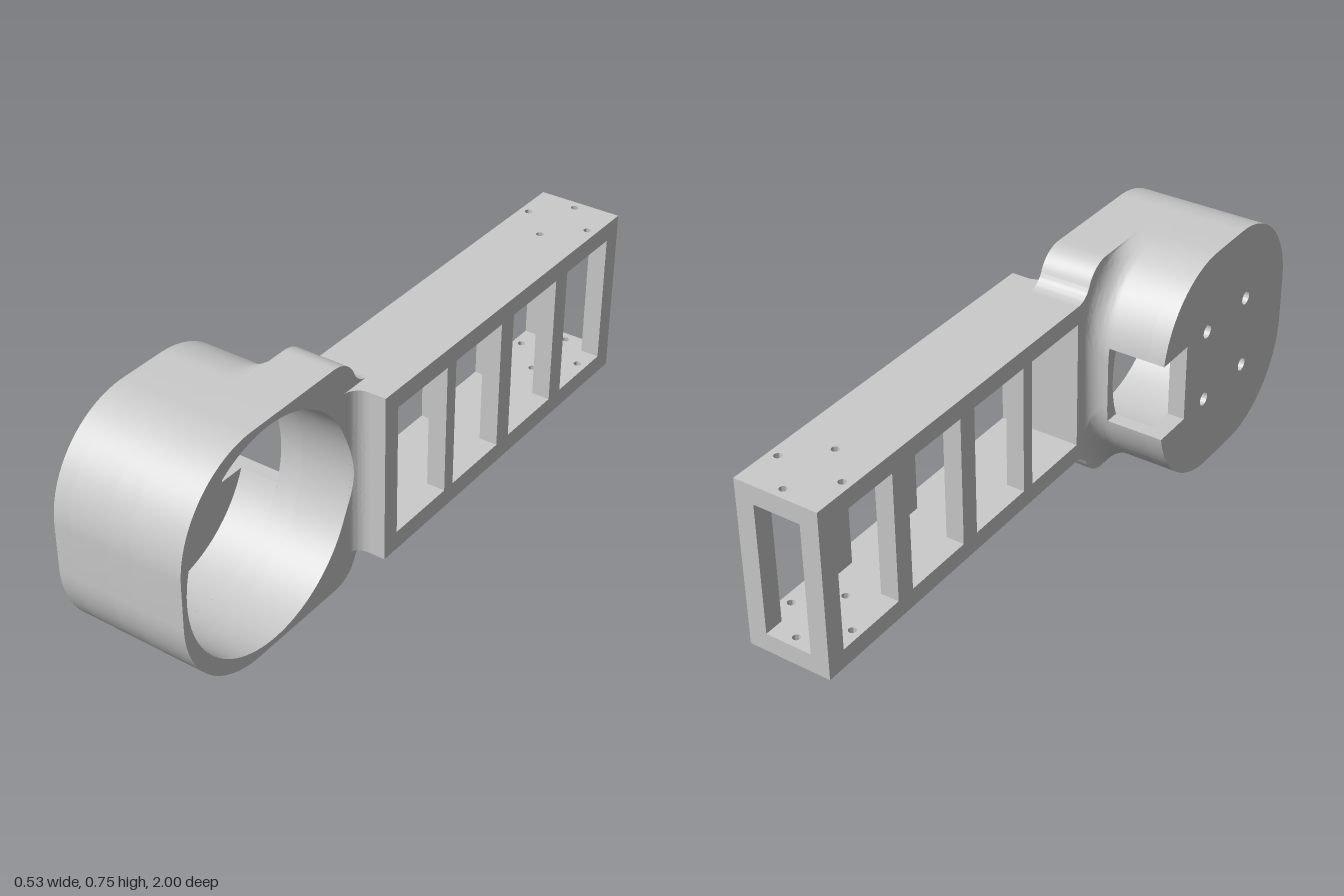
import * as THREE from 'three';
import { toCreasedNormals } from 'three/addons/utils/BufferGeometryUtils.js';
import { ParametricGeometry } from 'three/addons/geometries/ParametricGeometry.js';

const MID = 0.3725;                      // mirror height of the whole part
const BORE = { z: 0.63, r: 0.352 };
const CORNER = 0.3;                      // large corner radius of the cup
const X = { back: -0.266, floor: -0.21, notch: -0.08, neck: -0.005, rim: 0.162, arm: 0.266 };
const ARM = { y0: 0.1, y1: 0.645, z0: -1, z1: 0.26, wall: 0.06 };
const NOTCH = { z: 0.39, h: 0.1275 };

const material = new THREE.MeshStandardMaterial({ color: 0xcccccc });
const thin = new THREE.MeshStandardMaterial({ color: 0xcccccc, side: THREE.DoubleSide });

function add(group, name, geometry, mat = material) {
  const mesh = new THREE.Mesh(geometry, mat);
  mesh.name = name;
  group.add(mesh);
}

// Points [z, y] on an arc, n steps from angle a0 to a1
function arc(z, y, r, a0, a1, n) {
  return Array.from({ length: n + 1 }, (_, i) => {
    const a = a0 + (a1 - a0) * i / n;
    return [z + r * Math.cos(a), y + r * Math.sin(a)];
  });
}
const flip = pts => pts.map(([z, y]) => [z, 2 * MID - y]).reverse();

// Upper rear corner: s = 0 large round corner, s = 1 flat top flowing down into the arm
const Q = Math.PI / 2, TURN = Math.atan2(0.15, 0.0625);
const roundCorner = arc(0.25 + CORNER, 2 * MID - CORNER, CORNER, Q, 2 * Q, 30);
const neckCorner = [
  ...Array.from({ length: 8 }, (_, i) => [0.55 - 0.025 * i, 2 * MID]),
  ...arc(0.35, 0.645, 0.1, Q, Q + TURN, 11),
  ...arc(0.2, 0.7075, 0.0625, TURN - Q, -Q, 11).slice(1),
];
const rearCorner = s => roundCorner.map((p, i) => p.map((c, k) => c + (neckCorner[i][k] - c) * s));

// Outer outline from lower rear round the front to upper rear
function outline(s) {
  const front = arc(1 - CORNER, 2 * MID - CORNER, CORNER, 0, Q, 30), rear = rearCorner(s);
  return [...flip(rear), ...flip(front), ...front, ...rear];
}

const toVectors = pts => pts.map(([z, y]) => new THREE.Vector2(-z, y));
const circle = (x, y, r) => new THREE.Path().absarc(x, y, r, 0, Math.PI * 2, true);

// Extrude a [z, y] outline along x
function slab(pts, holes, x0, x1) {
  const shape = new THREE.Shape(toVectors(pts).reverse());
  shape.holes.push(...holes);
  const g = new THREE.ExtrudeGeometry(shape, { depth: x1 - x0, bevelEnabled: false, curveSegments: 16 });
  g.rotateY(Math.PI / 2).translate(x0, 0, 0);
  return toCreasedNormals(g, 0.5);
}

function box(x0, x1, y0, y1, z0, z1) {
  return new THREE.BoxGeometry(x1 - x0, y1 - y0, z1 - z0)
    .translate((x0 + x1) / 2, (y0 + y1) / 2, (z0 + z1) / 2);
}

function buildCup() {
  const cup = new THREE.Group();
  cup.name = 'cup';
  const top = MID + NOTCH.h, bottom = MID - NOTCH.h;
  // The flat rear strip is narrower than the notch, so the outline is cut off at the notch edges
  const cut = outline(0).filter(([z, y]) => z > NOTCH.z || Math.abs(y - MID) > NOTCH.h);
  const edgeZ = 0.25 + CORNER - Math.sqrt(CORNER ** 2 - (top - 2 * MID + CORNER) ** 2);
  const upper = [edgeZ, top], lower = [edgeZ, bottom];

  // Floor with four screw holes and a rear notch
  const screws = [];
  for (const z of [0.51, 0.75]) for (const y of [MID - 0.12, MID + 0.12]) screws.push(circle(-z, y, 0.022));
  add(cup, 'cupFloor', slab(
    [...cut, upper, [NOTCH.z, top], [NOTCH.z, bottom], lower], screws, X.back, X.floor));

  // Wall with the notch cut through its rear
  const a = Math.PI - Math.asin(NOTCH.h / BORE.r);
  add(cup, 'notchedWall', slab(
    [...cut, upper, ...arc(BORE.z, MID, BORE.r, a, -a, 96), lower], [], X.floor, X.notch));

  // Closed wall, then the rim section that runs into the arm
  const bore = () => new THREE.Path(toVectors(arc(BORE.z, MID, BORE.r, 0, Math.PI * 2, 96).slice(0, -1)));
  add(cup, 'closedWall', slab(outline(0), [bore()], X.notch, X.neck));
  add(cup, 'neckWall', slab(outline(1), [bore()], X.neck, X.rim));

  // Concave flare from the cup's rear to the neck
  const count = roundCorner.length * 2 - 1;
  const flare = new ParametricGeometry((u, v, target) => {
    const t = u * Q, c = rearCorner(1 - Math.cos(t));
    const [z, y] = [...c, ...flip(c)][Math.round(v * count)];
    target.set(X.notch + (X.neck - X.notch) * Math.sin(t), y, z);
  }, 16, count);
  add(cup, 'neckFlare', toCreasedNormals(flare, 0.7), thin);
  return cup;
}

function buildArm() {
  const arm = new THREE.Group();
  arm.name = 'arm';
  const { y0, y1, z0, z1, wall } = ARM, lo = y0 + wall, hi = y1 - wall;

  // Top and bottom plates with a ring of four small holes
  const shape = new THREE.Shape([[X.neck, -z1], [X.arm, -z1], [X.arm, -z0], [X.neck, -z0]]
    .map(p => new THREE.Vector2(...p)));
  for (const [dx, dz] of [[1, 0], [-1, 0], [0, 1], [0, -1]]) {
    shape.holes.push(circle(0.13 + dx * 0.105, 0.862 + dz * 0.105, 0.012));
  }
  for (const [name, y] of [['bottomPlate', y0], ['topPlate', hi]]) {
    const g = new THREE.ExtrudeGeometry(shape, { depth: wall, bevelEnabled: false, curveSegments: 10 });
    add(arm, name, toCreasedNormals(g.rotateX(-Math.PI / 2).translate(0, y, 0), 0.7));
  }

  // Posts between the side windows, on both sides
  for (const [a, b] of [[-1, -0.937], [-0.697, -0.632], [-0.392, -0.327], [-0.087, -0.043]]) {
    add(arm, 'leftPost', box(X.arm - wall, X.arm, lo, hi, a, b));
    add(arm, 'rightPost', box(X.neck, X.neck + wall, lo, hi, a, b));
  }
  add(arm, 'frontBlock', box(X.neck, X.arm, lo, hi, 0.2, z1));

  // Concave fillet between arm front and cup rim, trimmed by the bore
  const rows = 62, r = 0.05;
  const fillet = new ParametricGeometry((u, v, target) => {
    const row = Math.round(v * rows), col = Math.round(u * 14);
    const y = y0 + (y1 - y0) * THREE.MathUtils.clamp((row - 1) / (rows - 2), 0, 1);
    const boreZ = BORE.z - Math.sqrt(BORE.r ** 2 - (y - MID) ** 2);
    const t0 = Math.asin(THREE.MathUtils.clamp((z1 + r - boreZ) / r, 0, 1));
    const t = t0 + (Q - t0) * Math.max(col - 1, 0) / 13;
    const z = row === 0 || row === rows ? z1 : z1 + r - r * Math.sin(t);
    target.set(col === 0 ? X.rim : X.rim + r - r * Math.cos(t), y, z);
  }, 14, rows);
  add(arm, 'rimFillet', toCreasedNormals(fillet, 0.5), thin);
  return arm;
}

export function createModel() {
  const model = new THREE.Group();
  model.name = 'cupHolderArm';
  model.add(buildCup(), buildArm());
  return model;
}
